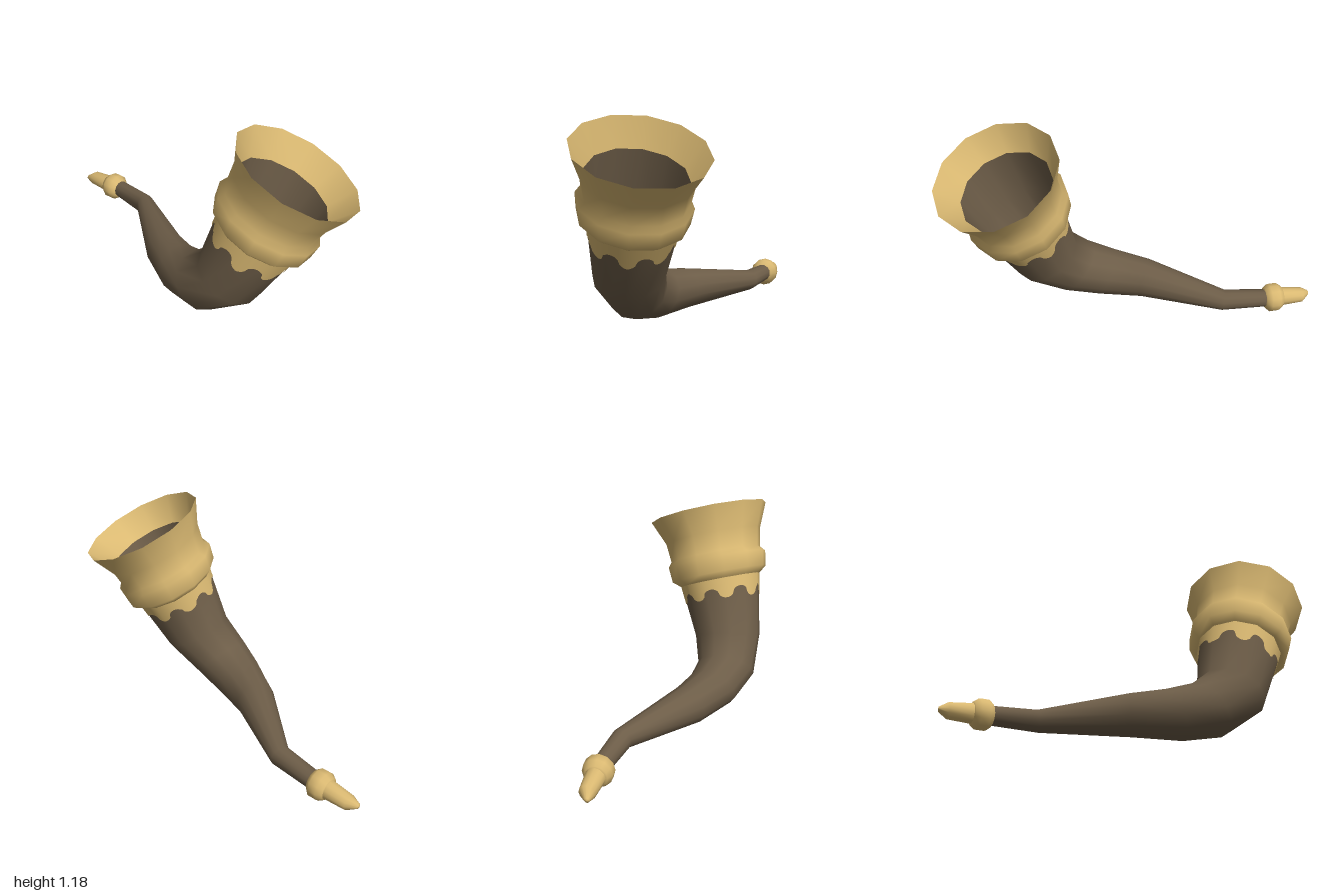
import * as THREE from 'three';

const SIDES = 12;
const V = (x, y, z) => new THREE.Vector3(x, y, z);

// Each ring is [x, y, z, radius, axis x, axis y, axis z]; rings share a frame that is carried along the path
function frames(rings, start = V(0, 0, 1)) {
  let u = start;
  return rings.map(([x, y, z, r, nx, ny, nz]) => {
    const n = V(nx, ny, nz).normalize();
    u = u.clone().addScaledVector(n, -u.dot(n)).normalize();
    return { c: V(x, y, z), r, u, v: n.clone().cross(u) };
  });
}

// Point on a twelve-sided ring at any angle
function ringPoint(f, a, extra = 0) {
  const step = (2 * Math.PI) / SIDES;
  const k = Math.cos(step / 2) / Math.cos((a % step) - step / 2);
  const r = (f.r + extra) * k;
  return f.c.clone().addScaledVector(f.u, Math.cos(a) * r).addScaledVector(f.v, Math.sin(a) * r);
}

// Closed skin over rows of points, smooth around the seam
function skin(rows, seg, point, inside = false) {
  const pos = [], index = [];
  for (let i = 0; i < rows; i++)
    for (let j = 0; j < seg; j++) pos.push(...point(i, (j / seg) * 2 * Math.PI).toArray());
  for (let i = 0; i < rows - 1; i++)
    for (let j = 0; j < seg; j++) {
      const k = (j + 1) % seg;
      const a = i * seg + j, b = i * seg + k, c = a + seg, d = b + seg;
      if (inside) index.push(a, b, c, b, d, c);
      else index.push(a, c, b, b, c, d);
    }
  const g = new THREE.BufferGeometry();
  g.setAttribute('position', new THREE.Float32BufferAttribute(pos, 3));
  g.setIndex(index);
  g.computeVertexNormals();
  return g;
}

function loft(rings, inside = false) {
  const f = frames(rings);
  return skin(f.length, SIDES, (i, a) => ringPoint(f[i], a), inside);
}

export function createModel() {
  const group = new THREE.Group();
  const gold = new THREE.MeshStandardMaterial({ color: 0xdab972 });
  gold.name = 'pale gold';
  const dark = new THREE.MeshStandardMaterial({ color: 0x6d5d48 });
  dark.name = 'dark horn';
  const add = (name, geometry, material) => {
    const m = new THREE.Mesh(geometry, material);
    m.name = name;
    group.add(m);
  };

  const up = [0.41, 0.9, -0.16];
  const rim = [0.665, 1.02, 0.21, 0.365, ...up];
  const throat = [0.6, 0.885, 0.235, 0.272, ...up];
  const hornTop = [0.5, 0.635, 0.272, 0.246, ...up];
  const bend = [0.355, 0.318, 0.31, 0.2, 0.47, 0.88, 0];

  // Curved horn body, from under the band to the mouthpiece
  add('hornBody', loft([
    hornTop, bend,
    [0.173, 0.18, 0.28, 0.172, 0.7, 0.65, 0.26],
    [0.01, 0.133, 0.183, 0.148, 0.78, 0.43, 0.48],
    [-0.17, 0.122, 0.028, 0.118, 0.72, 0.05, 0.7],
    [-0.485, 0.098, -0.357, 0.062, 0.85, 0.15, 0.5],
    [-0.73, 0.092, -0.465, 0.052, 0.92, 0, 0.35],
  ]), dark);

  // Flared mouth with the bulging band
  add('mouthBand', loft([
    rim,
    [0.605, 0.885, 0.235, 0.3, ...up],
    [0.557, 0.78, 0.247, 0.283, ...up],
    [0.545, 0.752, 0.255, 0.309, ...up],
    [0.513, 0.665, 0.267, 0.298, ...up],
    [0.5, 0.635, 0.272, 0.257, ...up],
    [0.495, 0.627, 0.273, 0.243, ...up],
  ]), gold);
  add('innerFlare', loft([rim, throat], true), gold);

  // Hollow inside of the horn
  add('hornInterior', loft([
    throat,
    [0.5, 0.635, 0.272, 0.232, ...up],
    [0.355, 0.318, 0.31, 0.185, 0.47, 0.88, 0],
    [0.173, 0.18, 0.28, 0.155, 0.7, 0.65, 0.26],
    [0.01, 0.133, 0.183, 0.125, 0.78, 0.43, 0.48],
    [-0.17, 0.122, 0.028, 0.001, 0.72, 0.05, 0.7],
  ], true), dark);

  // Thin scalloped trim hanging below the band
  const [top, low] = frames([hornTop, bend]);
  const seg = 144;
  const trim = skin(2, seg, (i, a) => {
    const wave = Math.cos(8 * a);
    const depth = 0.28 + 0.09 * Math.sign(wave) * Math.sqrt(Math.abs(wave));
    return ringPoint(top, a, 0.005).lerp(ringPoint(low, a, 0.005), i * depth);
  });
  const normal = trim.attributes.normal;
  for (let k = 0; k < normal.count; k++) {
    const a = ((k % seg) / seg) * 2 * Math.PI;
    const n = top.u.clone().multiplyScalar(Math.cos(a)).addScaledVector(top.v, Math.sin(a));
    n.addScaledVector(V(...up), -0.13).normalize();
    normal.setXYZ(k, n.x, n.y, n.z);
  }
  add('scallopedTrim', trim, gold);

  // Mouthpiece collar and tapering stem
  const axis = [0.95, 0.04, 0.3];
  add('mouthpieceCollar', loft([
    [-0.712, 0.092, -0.458, 0.045, ...axis],
    [-0.718, 0.091, -0.46, 0.062, ...axis],
    [-0.742, 0.09, -0.469, 0.084, ...axis],
    [-0.79, 0.088, -0.482, 0.084, ...axis],
    [-0.818, 0.086, -0.489, 0.064, ...axis],
    [-0.822, 0.086, -0.49, 0.045, ...axis],
  ]), gold);
  add('mouthpieceStem', loft([
    [-0.8, 0.087, -0.486, 0.057, ...axis],
    [-0.942, 0.076, -0.528, 0.045, ...axis],
    [-0.995, 0.07, -0.528, 0.014, ...axis],
    [-0.999, 0.07, -0.528, 0.001, ...axis],
  ]), gold);

  return group;
}
